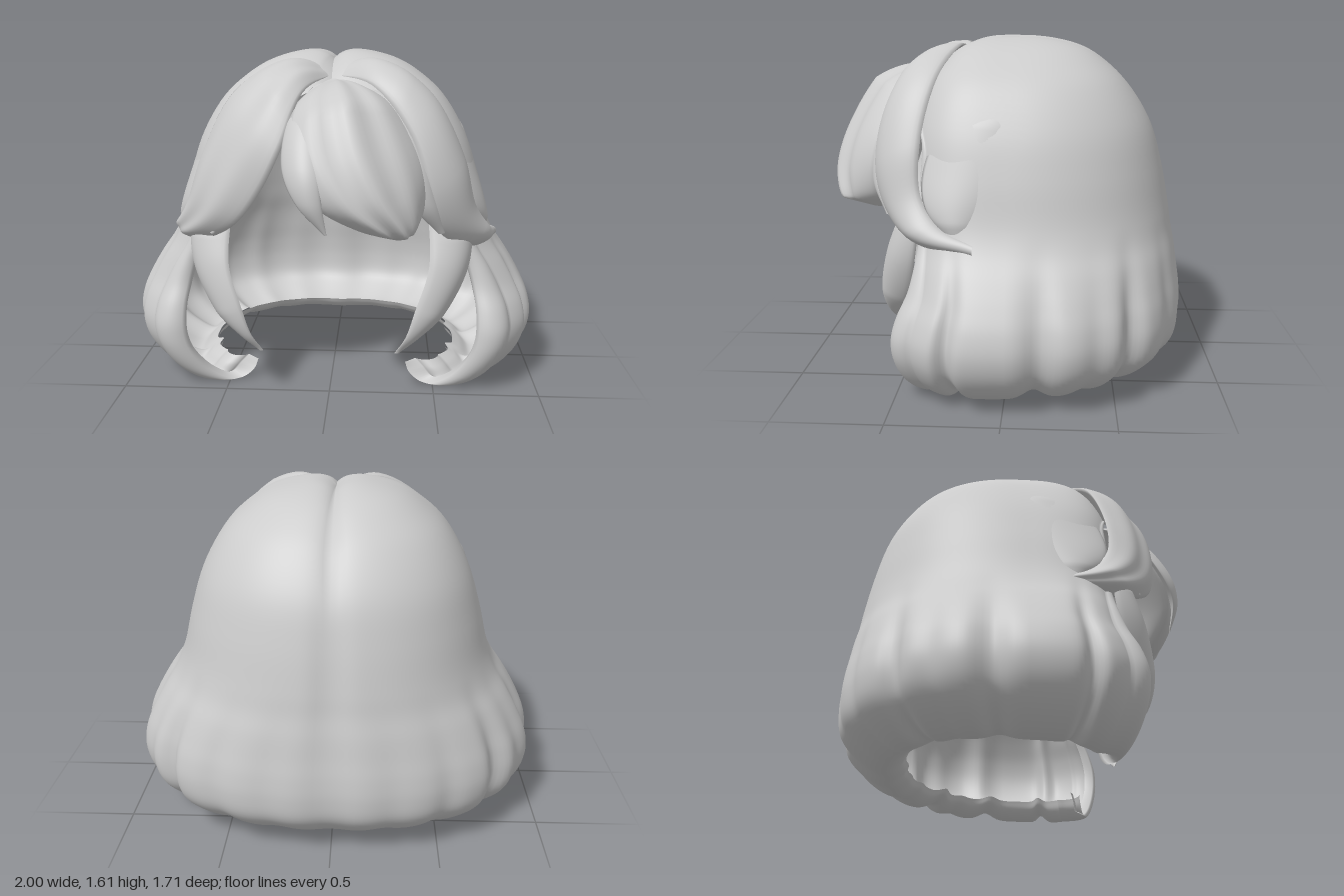
import * as THREE from 'three';

const V = (x, y, z) => new THREE.Vector3(x, y, z);
const hairMat = new THREE.MeshStandardMaterial({ color: 0xcccccc });
hairMat.name = 'hair grey';

// Skin a list of closed loops; flips the faces if they would point inward.
function loft(name, loops) {
  const n = loops[0].length, pos = [], idx = [];
  loops.forEach(l => l.forEach(p => pos.push(p.x, p.y, p.z)));
  for (let j = 0; j < loops.length - 1; j++) {
    for (let i = 0; i < n; i++) {
      const k = (i + 1) % n, a = j * n + i, b = j * n + k, c = a + n, d = b + n;
      idx.push(a, b, c, b, d, c);
    }
  }
  const all = loops.flat();
  let volume = 0;
  for (let i = 0; i < idx.length; i += 3) {
    volume += all[idx[i]].dot(all[idx[i + 1]].clone().cross(all[idx[i + 2]]));
  }
  if (volume < 0) idx.reverse();
  const g = new THREE.BufferGeometry();
  g.setAttribute('position', new THREE.Float32BufferAttribute(pos, 3));
  g.setIndex(idx);
  g.computeVertexNormals();
  const mesh = new THREE.Mesh(g, hairMat);
  mesh.name = name;
  return mesh;
}

// A lock of hair between two edge curves, swollen outward, with soft strand ridges.
function lock(name, edgeA, edgeB, bulge, ridges = 0, mirror = 1) {
  const curve = pts => new THREE.CatmullRomCurve3(pts.map(p => V(p[0] * mirror, p[1], p[2])));
  const A = curve(edgeA), B = curve(edgeB), loops = [], N = 44, M = 22;
  for (let j = 0; j <= N; j++) {
    const s = j / N, a = A.getPoint(s), b = B.getPoint(s);
    const mid = a.clone().lerp(b, 0.5);
    const out = V(mid.x, Math.max(0, mid.y - 0.8) * 0.7, mid.z).normalize();
    const h = bulge * Math.min(1, a.distanceTo(b) / 0.2) * Math.min(1, s * 4);
    const loop = [];
    for (let i = 0; i < 2 * M; i++) {
      const front = i < M, t = front ? i / M : 2 - i / M;
      const dome = Math.pow(Math.max(0, Math.sin(Math.PI * t)), 0.7);
      const ripple = ridges ? 1 - 0.1 * Math.cos(2 * Math.PI * ridges * t) : 1;
      loop.push(a.clone().lerp(b, t).addScaledVector(out, dome * h * (front ? ripple : -0.35)));
    }
    loops.push(loop);
  }
  return loft(name, loops);
}

// Main bob: height, half width, back depth, front depth, inner ratio; the last rows roll under
const PROFILE = [
  [1.61, 0, 0, 0, 0.95], [1.605, 0.14, 0.17, 0.12, 0.95], [1.555, 0.32, 0.36, 0.25, 0.95],
  [1.48, 0.44, 0.475, 0.33, 0.95], [1.38, 0.545, 0.575, 0.4, 0.95], [1.2, 0.65, 0.685, 0.46, 0.95],
  [1.0, 0.715, 0.745, 0.47, 0.95], [0.8, 0.765, 0.785, 0.46, 0.95], [0.7, 0.81, 0.80, 0.46, 0.95],
  [0.6, 0.88, 0.82, 0.46, 0.95], [0.5, 0.94, 0.835, 0.47, 0.95], [0.4, 0.985, 0.85, 0.51, 0.95],
  [0.3, 1.0, 0.855, 0.535, 0.95], [0.2, 0.975, 0.84, 0.53, 0.95], [0.1, 0.90, 0.77, 0.49, 0.95],
  [0.03, 0.79, 0.68, 0.43, 0.97], [0.02, 0.71, 0.61, 0.39, 1], [0.06, 0.64, 0.55, 0.36, 1.04],
  [0.1, 0.62, 0.53, 0.35, 1],
];
// Creases between the curled ends: angle from the back, depth
const GROOVES = [[0.24, 0.012], [0.52, 0.018], [0.88, 0.055], [1.12, 0.018], [1.42, 0.05], [1.86, 0.05]];

function bob() {
  const c1 = new THREE.CatmullRomCurve3(PROFILE.map(r => V(r[1], r[0], r[2])));
  const c2 = new THREE.CatmullRomCurve3(PROFILE.map(r => V(r[3], r[0], r[4])));
  const rows = 96, NU = 170, CURL = 12, loops = [];
  for (let j = 0; j <= rows; j++) {
    const p = c1.getPoint(j / rows), q = c2.getPoint(j / rows);
    const y = p.y;
    const end = THREE.MathUtils.lerp(2.25, Math.PI, THREE.MathUtils.smoothstep(y, 1.1, 1.5));
    const low = 1 - THREE.MathUtils.smoothstep(y, 0.28, 0.82);
    const high = THREE.MathUtils.smoothstep(y, 0.8, 1.5);
    const hemFade = 1 - THREE.MathUtils.smoothstep(y, 0, 0.2);
    const point = (phi, scale, inner) => {
      const s = Math.sin(phi), c = Math.cos(phi);
      const f = c < 0 ? 0.6 : 0.86 - 0.07 * high;
      let dent = 0;
      for (const [g, depth] of GROOVES) {
        dent += depth * Math.exp(-(((Math.abs(phi) - g) / 0.075) ** 2));
      }
      const part = Math.exp(-((phi / 0.07) ** 2));
      const r = scale * (1 - dent * low - 0.025 * part * (1 - high));
      const x = p.x * r * Math.sign(s) * Math.pow(Math.abs(s), f);
      const z = c > 0 ? -p.z * r * Math.pow(c, f) : q.x * r * Math.pow(-c, f);
      const crease = 0.045 * high * Math.exp(-Math.abs(x) / 0.045);
      const hem = hemFade * (dent * 0.6 + (c > 0 ? 0.025 : 0.03) * c);
      return V(x, y - crease + hem + (inner ? 0.025 * hemFade - 0.04 * high : 0), z);
    };
    const outer = [], inside = [];
    for (let i = 0; i <= NU; i++) {
      const phi = -end + 2 * end * i / NU;
      outer.push(point(phi, 1, false));
      inside.push(point(phi, q.z, true));
    }
    // front edge rolling in toward the face
    const radius = (0.035 + 0.065 * low) * (1 - high);
    const curl = (e, side, r) => Array.from({ length: CURL }, (_, i) => {
      const a = 2.3 * (i + 1) / CURL;
      return V(e.x - side * r * (1 - Math.cos(a)), e.y, e.z + r * Math.sin(a));
    });
    loops.push([
      ...outer, ...curl(outer[NU], 1, radius),
      ...curl(inside[NU], 1, radius * 0.7).reverse(), ...inside.reverse(),
      ...curl(inside[NU], -1, radius * 0.7), ...curl(outer[0], -1, radius).reverse(),
    ]);
  }
  return loft('bobShell', loops);
}

export function createModel() {
  const hair = new THREE.Group();
  hair.name = 'hair';
  hair.add(bob());

  // Sweeping side bangs
  hair.add(lock('leftSweptBang',
    [[0, 1.53, 0.2], [0.2, 1.57, 0.23], [0.45, 1.43, 0.32], [0.61, 1.15, 0.38], [0.67, 0.92, 0.37], [0.74, 0.8, 0.28], [0.8, 0.74, 0.13]],
    [[0, 1.5, 0.25], [0.2, 1.46, 0.46], [0.37, 1.25, 0.58], [0.45, 1.0, 0.61], [0.5, 0.82, 0.55], [0.65, 0.71, 0.4], [0.79, 0.69, 0.13]], 0.075));
  hair.add(lock('rightSweptBang',
    [[0, 1.53, 0.2], [-0.2, 1.57, 0.23], [-0.45, 1.43, 0.32], [-0.6, 1.15, 0.38], [-0.67, 0.94, 0.37], [-0.72, 0.82, 0.28], [-0.77, 0.74, 0.12]],
    [[0, 1.5, 0.25], [-0.12, 1.43, 0.52], [-0.2, 1.2, 0.66], [-0.29, 1.02, 0.66], [-0.42, 0.85, 0.6], [-0.62, 0.73, 0.42], [-0.76, 0.71, 0.12]], 0.075, 2));

  // Central fringe in overlapping locks
  hair.add(lock('fringeRightLock',
    [[-0.05, 1.48, 0.28], [-0.17, 1.34, 0.57], [-0.19, 1.13, 0.73], [-0.12, 0.99, 0.81], [0, 0.86, 0.81]],
    [[0, 1.48, 0.28], [-0.03, 1.35, 0.62], [-0.02, 1.13, 0.8], [-0.01, 1.0, 0.83], [0.01, 0.86, 0.81]], 0.05));
  hair.add(lock('fringeMainLock',
    [[-0.02, 1.48, 0.28], [-0.16, 1.36, 0.57], [-0.16, 1.14, 0.74], [-0.04, 0.98, 0.8], [0.14, 0.87, 0.76], [0.3, 0.8, 0.64]],
    [[0.05, 1.49, 0.28], [0.28, 1.38, 0.45], [0.41, 1.17, 0.57], [0.44, 1.0, 0.61], [0.41, 0.88, 0.61], [0.32, 0.8, 0.62]], 0.135, 3));
  hair.add(lock('fringeLeftLock',
    [[0.05, 1.47, 0.28], [0.2, 1.35, 0.5], [0.3, 1.13, 0.62], [0.38, 0.95, 0.63], [0.5, 0.81, 0.56]],
    [[0.1, 1.48, 0.28], [0.35, 1.36, 0.41], [0.46, 1.13, 0.53], [0.5, 0.95, 0.56], [0.53, 0.81, 0.54]], 0.05));
  hair.add(lock('rightUnderLock',
    [[-0.22, 1.3, 0.55], [-0.29, 1.1, 0.62], [-0.38, 0.92, 0.6], [-0.53, 0.79, 0.54]],
    [[-0.4, 1.3, 0.42], [-0.48, 1.1, 0.5], [-0.52, 0.92, 0.52], [-0.55, 0.79, 0.52]], 0.05));

  for (const side of [1, -1]) {
    const prefix = side > 0 ? 'left' : 'right';
    // Loose strand framing the face
    hair.add(lock(prefix + 'FaceStrand',
      [[0.58, 1.1, 0.34], [0.66, 0.82, 0.38], [0.65, 0.62, 0.41], [0.54, 0.4, 0.46], [0.42, 0.29, 0.51], [0.33, 0.22, 0.54]],
      [[0.42, 1.1, 0.4], [0.46, 0.82, 0.49], [0.46, 0.64, 0.56], [0.4, 0.45, 0.6], [0.36, 0.32, 0.59], [0.31, 0.22, 0.54]], 0.06, 0, side));
    // Folded layer over the temple
    hair.add(lock(prefix + 'TempleLock',
      [[0.52, 1.4, -0.07], [0.62, 1.22, -0.04], [0.69, 1.02, 0.02], [0.725, 0.87, 0.09], [0.74, 0.72, 0.17]],
      [[0.5, 1.4, -0.03], [0.56, 1.22, 0.28], [0.62, 1.02, 0.37], [0.68, 0.87, 0.35], [0.73, 0.72, 0.22]], 0.045, 0, side));
  }
  return hair;
}
